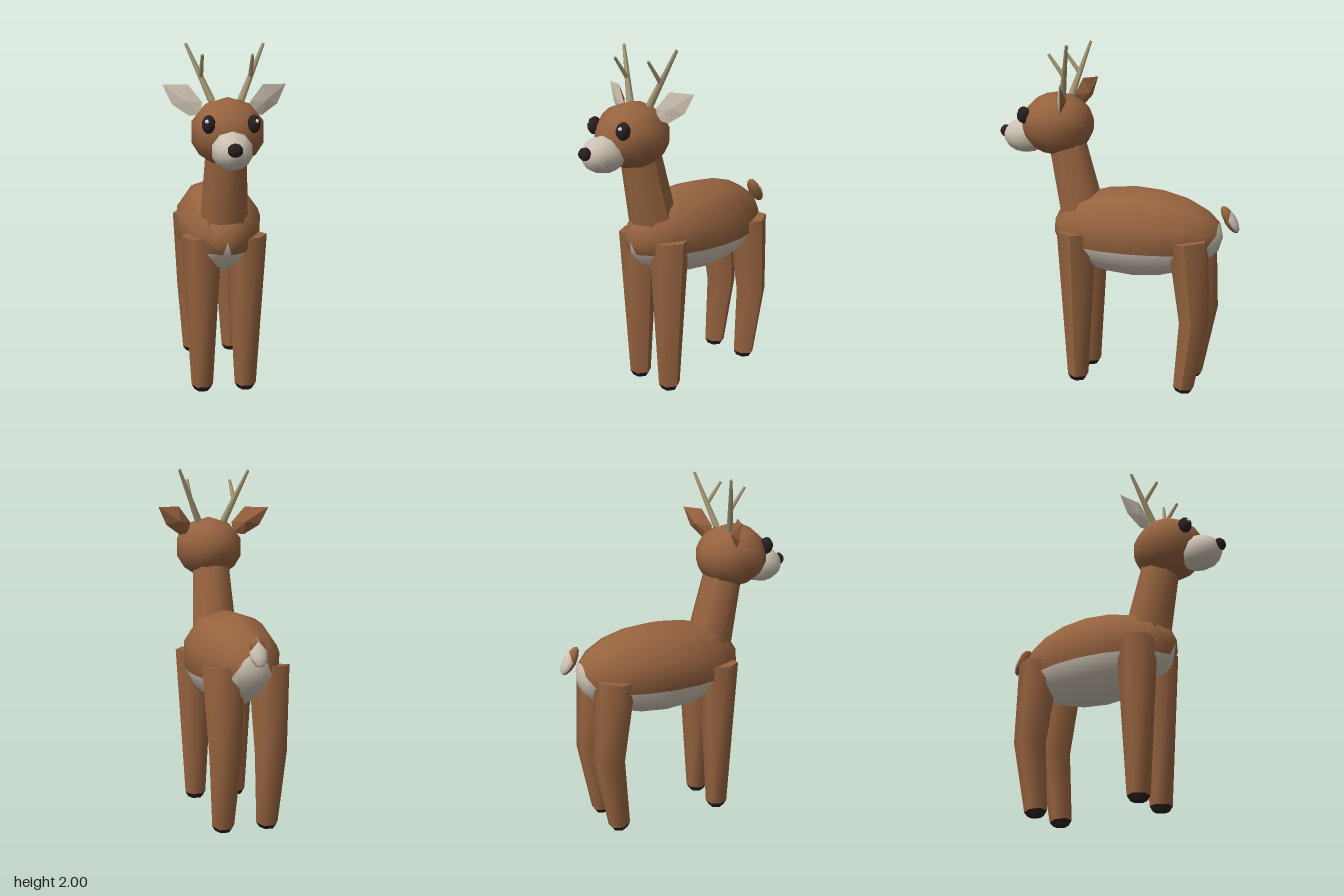
import * as THREE from 'three';

const mat = (name, color, side = THREE.FrontSide) => {
  const m = new THREE.MeshStandardMaterial({ color, side });
  m.name = name;
  return m;
};

// Ellipsoid with poles on z. Each ring is split at angle line(i) (degrees):
// the arc above it is material 0, the arc below it is material 1.
// Bands from index "cap" onwards are wholly material 1.
function ellipsoid(rx, ry, rz, rings = 10, line = () => -18, cap = rings) {
  const pos = [], nor = [], sets = [[], []], half = 6, n = half * 2;
  for (let i = 0; i <= rings; i++) {
    const th = Math.PI * i / rings, p = line(i);
    for (let j = 0; j < n; j++) {
      const deg = j < half ? p + (180 - 2 * p) * j / half
        : 180 - p + (180 + 2 * p) * (j - half) / half;
      const a = THREE.MathUtils.degToRad(deg);
      const u = [Math.sin(th) * Math.cos(a), Math.sin(th) * Math.sin(a), Math.cos(th)];
      pos.push(u[0] * rx, u[1] * ry, u[2] * rz);
      nor.push(...new THREE.Vector3(u[0] / rx, u[1] / ry, u[2] / rz).normalize().toArray());
      if (i === rings) continue;
      const k = (j + 1) % n, A = i * n + j, B = i * n + k, C = A + n, D = B + n;
      sets[j >= half || i >= cap ? 1 : 0].push(A, C, B, B, C, D);
    }
  }
  const g = new THREE.BufferGeometry();
  g.setAttribute('position', new THREE.Float32BufferAttribute(pos, 3));
  g.setAttribute('normal', new THREE.Float32BufferAttribute(nor, 3));
  g.setIndex([...sets[0], ...sets[1]]);
  g.addGroup(0, sets[0].length, 0);
  g.addGroup(sets[0].length, sets[1].length, 1);
  return g;
}

// Capped limb through rings given top to bottom as [x, y, z, radius, tilt]
function limb(rings, sides = 6) {
  const n = rings.length - 1;
  const g = new THREE.CylinderGeometry(1, 1, 1, sides, n, false, Math.PI / 2);
  const p = g.attributes.position;
  for (let i = 0; i < p.count; i++) {
    const [x, y, z, r, tilt = 0] = rings[Math.round((0.5 - p.getY(i)) * n)];
    const dz = p.getZ(i) * r;
    p.setXYZ(i, x + p.getX(i) * r, y + tilt * dz, z + dz);
  }
  g.computeVertexNormals();
  return g;
}

// Tapered rod between two points
function rod(a, b, ra, rb) {
  const A = new THREE.Vector3(...a), B = new THREE.Vector3(...b), d = B.clone().sub(A);
  const g = new THREE.CylinderGeometry(rb, ra, d.length(), 6);
  g.applyQuaternion(new THREE.Quaternion().setFromUnitVectors(
    new THREE.Vector3(0, 1, 0), d.normalize()));
  return g.translate(...A.add(B).multiplyScalar(0.5).toArray());
}

// Fan of flat triangles from an outline to a centre point
function fan(outline, centre, flip) {
  const pos = [];
  outline.forEach((p, i) => {
    const q = outline[(i + 1) % outline.length];
    pos.push(...(flip ? [...q, ...p] : [...p, ...q]), ...centre);
  });
  const g = new THREE.BufferGeometry();
  g.setAttribute('position', new THREE.Float32BufferAttribute(pos, 3));
  g.computeVertexNormals();
  return g;
}

export function createModel() {
  const model = new THREE.Group();
  model.name = 'deer';
  const brown = mat('brown fur', 0x96633f);
  const pale = mat('pale fur', 0xcdc2b2);
  const dark = mat('dark hoof and nose', 0x2a1f20);
  const horn = mat('antler', 0xa89a76);
  const white = mat('eye glint', 0xf4f4f4);

  const add = (name, geo, material, at = [0, 0, 0]) => {
    const m = new THREE.Mesh(geo, material);
    m.name = name;
    m.position.set(...at);
    model.add(m);
    return m;
  };
  const ball = (name, material, at, r, rings = 10) =>
    add(name, ellipsoid(...r, rings), [material, material], at);

  // Body: pale belly below a level line, pale rump at the back
  const ry = 0.265;
  const bellyLine = (i) => {
    if (i >= 9) return 18;
    const r = ry * Math.sin(Math.PI * i / 10);
    const s = r > 0 ? Math.max(-1, -0.078 / r) : -1;
    return THREE.MathUtils.radToDeg(Math.asin(s));
  };
  add('body', ellipsoid(0.257, ry, 0.51, 10, bellyLine, 9), [brown, pale], [0, 0.922, -0.12]);

  // Tail: pale on the back face near the tip
  const tail = add('tail', ellipsoid(0.05, 0.035, 0.088, 6, (i) => (i < 4 ? 0 : -88)),
    [brown, pale], [0, 1.028, -0.667]);
  tail.rotation.x = THREE.MathUtils.degToRad(122);

  // Neck and head
  add('neck', limb([[0, 1.44, 0.31, 0.112, -0.23], [0, 1.0, 0.21, 0.137, -0.23]], 8), brown);
  ball('head', brown, [0, 1.532, 0.362], [0.205, 0.185, 0.212]);
  ball('muzzle', pale, [0, 1.455, 0.565], [0.111, 0.103, 0.132], 8);
  ball('nose', dark, [0, 1.475, 0.692], [0.042, 0.037, 0.033], 5);

  // Ear outline for the left side, counter-clockwise from the tip
  const earOutline = [[0.34, 1.775], [0.205, 1.778], [0.13, 1.685],
    [0.14, 1.62], [0.2, 1.61], [0.29, 1.67]];

  for (const s of [1, -1]) {
    const side = s > 0 ? 'left' : 'right';

    // Legs and hooves
    add(side + 'FrontLeg', limb([[s * 0.129, 0.925, 0.21, 0.117],
      [s * 0.127, 0.03, 0.21, 0.063]]), brown);
    add(side + 'FrontHoof', limb([[s * 0.127, 0.03, 0.21, 0.063],
      [s * 0.127, 0, 0.21, 0.045]]), dark);
    add(side + 'BackLeg', limb([[s * 0.129, 0.92, -0.455, 0.118, -0.1],
      [s * 0.128, 0.44, -0.5, 0.092], [s * 0.127, 0.03, -0.443, 0.063, 0.12]]), brown);
    add(side + 'BackHoof', limb([[s * 0.127, 0.03, -0.443, 0.063, 0.12],
      [s * 0.127, 0.003, -0.441, 0.045, 0.08]]), dark);

    // Eye with a small glint
    ball(side + 'Eye', dark, [s * 0.118, 1.59, 0.528], [0.036, 0.05, 0.042], 6);
    ball(side + 'EyeGlint', white, [s * 0.129, 1.607, 0.557], [0.012, 0.012, 0.012], 4);

    // Ear: pale front, brown bulging back
    const rim = earOutline.map(([x, y]) => [s * x, y, 0.305 - 0.38 * (x - 0.13)]);
    add(side + 'EarFront', fan(rim, [s * 0.22, 1.69, 0.283], s < 0), pale);
    add(side + 'EarBack', fan(rim, [s * 0.205, 1.69, 0.235], s > 0), brown);

    // Antler: main beam and one tine
    add(side + 'AntlerBeam', rod([s * 0.078, 1.69, 0.305], [s * 0.212, 1.995, 0.228],
      0.022, 0.009), horn);
    add(side + 'AntlerTine', rod([s * 0.135, 1.82, 0.275], [s * 0.134, 1.94, 0.363],
      0.014, 0.009), horn);
  }
  return model;
}
